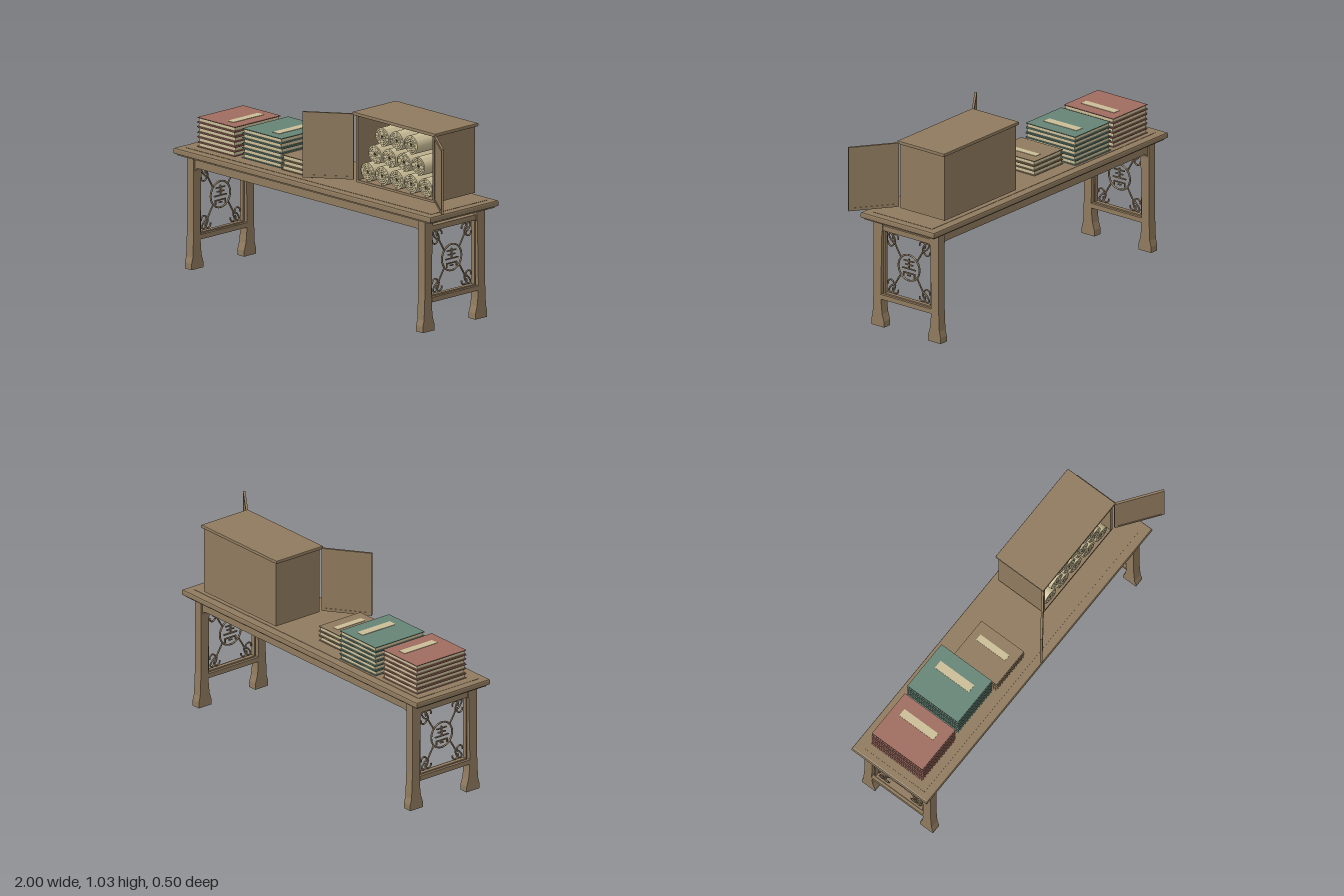
import * as THREE from 'three';
import { toCreasedNormals } from 'three/addons/utils/BufferGeometryUtils.js';

const paint = (name, color) => {
  const m = new THREE.MeshStandardMaterial({ color });
  m.name = name;
  return m;
};
const wood = paint('brown wood', 0x8f7a5e);
const paper = paint('cream paper', 0xcabd97);
const red = paint('red cover', 0x9e6c5f);
const green = paint('green cover', 0x668475);
const dark = paint('dark roller', 0x54432f);

function add(parent, name, geometry, material, x = 0, y = 0, z = 0) {
  const mesh = new THREE.Mesh(geometry, material);
  mesh.name = name;
  mesh.position.set(x, y, z);
  parent.add(mesh);
  return mesh;
}

// Box given by its limits on each axis
function box(parent, name, material, x0, x1, y0, y1, z0, z1) {
  return add(parent, name, new THREE.BoxGeometry(x1 - x0, y1 - y0, z1 - z0), material,
    (x0 + x1) / 2, (y0 + y1) / 2, (z0 + z1) / 2);
}

function group(parent, name, x = 0, y = 0, z = 0) {
  const g = new THREE.Group();
  g.name = name;
  g.position.set(x, y, z);
  parent.add(g);
  return g;
}

const outline = (pts) => new THREE.Shape(pts.map(([x, y]) => new THREE.Vector2(x, y)));
const extrude = (shape, depth) =>
  new THREE.ExtrudeGeometry(shape, { depth, bevelEnabled: false, curveSegments: 6 });

// Openwork for one end of the table, drawn in local x-y and turned sideways
function endFret(parent, x) {
  const g = group(parent, 'endFret', x, 0.358, 0);
  g.rotation.y = x > 0 ? Math.PI / 2 : -Math.PI / 2;
  add(g, 'fretRing', new THREE.TorusGeometry(0.07, 0.005, 8, 40), wood);
  // lattice bars: centre x, centre y, width, height
  for (const [bx, by, w, h] of [
    [0, 0.037, 0.066, 0.006], [0, 0.016, 0.05, 0.006], [0, -0.006, 0.088, 0.006],
    [0, -0.03, 0.076, 0.006], [0, 0.02, 0.006, 0.058],
    [-0.035, -0.04, 0.006, 0.022], [0.035, -0.04, 0.006, 0.022], [0, -0.043, 0.022, 0.006],
  ]) add(g, 'fretBar', new THREE.BoxGeometry(w, h, 0.008), wood, bx, by, 0);
  // scrolled corners
  for (const sx of [-1, 1]) for (const sy of [-1, 1]) {
    const tube = (name, pts, closed = false) => {
      const path = new THREE.CatmullRomCurve3(
        pts.map(([px, py]) => new THREE.Vector3(px * sx, py * sy, 0)), closed);
      add(g, name, new THREE.TubeGeometry(path, 22, 0.0045, 6, closed), wood);
    };
    const arc = (cx, cy, start) => Array.from({ length: 9 }, (_, i) => {
      const a = start + (i / 8) * 4.2;
      return [cx + 0.019 * Math.cos(a), cy + 0.019 * Math.sin(a)];
    });
    tube('fretStem', [[0.053, 0.046], [0.073, 0.078], [0.095, 0.115]]);
    tube('fretLeaf', [[0.092, 0.112], [0.098, 0.142], [0.122, 0.163], [0.134, 0.154], [0.117, 0.125]], true);
    tube('fretCurl', arc(0.12, 0.112, 2.4));
    tube('fretCurl', arc(0.09, 0.144, -0.7));
  }
}

function buildTable(root) {
  const t = group(root, 'table', -0.05, 0, -0.006);
  // top: moulded edge with a flush field panel
  box(t, 'topUnderMould', wood, -0.935, 0.935, 0.593, 0.603, -0.23, 0.23);
  const slab = outline([[-0.942, -0.237], [0.942, -0.237], [0.942, 0.237], [-0.942, 0.237]]);
  const slabGeo = new THREE.ExtrudeGeometry(slab,
    { depth: 0.017, bevelThickness: 0.008, bevelSize: 0.008, bevelSegments: 2 });
  slabGeo.rotateX(-Math.PI / 2);
  add(t, 'tableTop', slabGeo, wood, 0, 0.609, 0);
  box(t, 'topPanel', wood, -0.91, 0.91, 0.632, 0.6355, -0.2, 0.2);

  // aprons with rounded corners where they meet the legs
  const apron = new THREE.Shape();
  apron.moveTo(-0.88, 0.595);
  apron.lineTo(-0.88, 0.51);
  apron.lineTo(-0.83, 0.51);
  apron.quadraticCurveTo(-0.83, 0.543, -0.8, 0.543);
  apron.lineTo(0.8, 0.543);
  apron.quadraticCurveTo(0.83, 0.543, 0.83, 0.51);
  apron.lineTo(0.88, 0.51);
  apron.lineTo(0.88, 0.595);
  for (const s of [-1, 1]) add(t, 'apron', extrude(apron, 0.036), wood, 0, 0, s * 0.19 - 0.018);

  // legs with flared feet
  const legPts = [[0.216, 0.595], [0.157, 0.595], [0.157, 0.53], [0.161, 0.525], [0.168, 0.18],
    [0.164, 0.11], [0.159, 0.07], [0.147, 0.032], [0.146, 0], [0.231, 0], [0.231, 0.032],
    [0.222, 0.065], [0.219, 0.14], [0.216, 0.2]];
  for (const s of [-1, 1]) {
    const shape = outline(legPts.map(([z, y]) => [z * s, y]));
    for (const x of [-0.88, 0.83]) {
      const geo = extrude(shape, 0.05);
      geo.rotateY(-Math.PI / 2);
      add(t, 'leg', geo, wood, x + 0.05, 0, 0);
    }
  }

  // end rails, thin inner frame and openwork
  for (const s of [-1, 1]) {
    const c = s * 0.855;
    box(t, 'upperRail', wood, c - 0.02, c + 0.02, 0.531, 0.559, -0.165, 0.165);
    box(t, 'lowerRail', wood, c - 0.027, c + 0.027, 0.153, 0.179, -0.168, 0.168);
    box(t, 'frameSill', wood, c - 0.012, c + 0.012, 0.179, 0.186, -0.16, 0.16);
    for (const z of [-1, 1])
      box(t, 'frameStile', wood, c - 0.012, c + 0.012, 0.186, 0.531, z * 0.156 - 0.004, z * 0.156 + 0.004);
    endFret(t, c);
  }
}

// Rolled sheet: a spiral ribbon extruded along its length
function rolledSheet() {
  const outer = [], inner = [], turns = 4, steps = 112;
  for (let i = 0; i <= steps; i++) {
    const a = (i / steps) * turns * Math.PI * 2 - Math.PI / 2;
    const r = 0.053 - 0.041 * (i / steps);
    outer.push([r * Math.cos(a), r * Math.sin(a)]);
    inner.push([(r - 0.0088) * Math.cos(a), (r - 0.0088) * Math.sin(a)]);
  }
  return toCreasedNormals(extrude(outline([...outer, ...inner.reverse()]), 0.255), 0.6);
}

function buildDoor(parent, x, angle) {
  const L = 0.268, y0 = 0.667, y1 = 1.018, b = 0.016;
  const door = group(parent, 'cabinetDoor', x, 0, 0.085);
  door.rotation.y = angle;
  const frame = outline([[0, y0], [L, y0], [L, y1], [0, y1]]);
  frame.holes.push(outline([[b, y0 + b], [b, y1 - b], [L - b, y1 - b], [L - b, y0 + b]]));
  add(door, 'doorFrame', extrude(frame, 0.012), wood, 0, 0, -0.006);
  box(door, 'doorPanel', wood, b, L - b, y0 + b, y1 - b, -0.004, 0.004);
}

function buildCabinet(root) {
  const c = group(root, 'cabinet');
  const x0 = 0.187, x1 = 0.767, z0 = -0.212, z1 = 0.081;
  box(c, 'cabinetFloor', wood, x0, x1, 0.655, 0.668, z0, z1);
  box(c, 'cabinetBack', wood, x0, x1, 0.668, 1.012, z0, z0 + 0.014);
  box(c, 'cabinetSide', wood, x0, x0 + 0.014, 0.668, 1.012, z0 + 0.014, z1);
  box(c, 'cabinetSide', wood, x1 - 0.014, x1, 0.668, 1.012, z0 + 0.014, z1);
  const lid = outline([[0.176, -0.087], [0.778, -0.087], [0.778, 0.216], [0.176, 0.216]]);
  const lidGeo = new THREE.ExtrudeGeometry(lid,
    { depth: 0.01, bevelThickness: 0.004, bevelSize: 0.004, bevelSegments: 2 });
  lidGeo.rotateX(-Math.PI / 2);
  add(c, 'cabinetLid', lidGeo, wood, 0, 1.015, 0);
  buildDoor(c, 0.778, -0.63);
  buildDoor(c, 0.176, Math.PI + 0.63);

  // stacked paper rolls, five then four then three
  const sheet = rolledSheet();
  const rod = new THREE.CylinderGeometry(0.005, 0.005, 0.257, 10).rotateX(Math.PI / 2);
  [5, 4, 3].forEach((count, row) => {
    for (let i = 0; i < count; i++) {
      const x = 0.473 + (i - (count - 1) / 2) * 0.107, y = 0.721 + row * 0.104;
      add(c, 'paperRoll', sheet, paper, x, y, -0.185);
      add(c, 'rollCore', rod, dark, x, y, -0.057);
    }
  });
}

// Stack of thin books; alternate ones are nudged a little
function buildStack(root, name, cover, [x0, x1, z0, z1], top, count, label) {
  const s = group(root, name);
  const base = 0.638, h = (top - base) / count;
  for (let i = 0; i < count; i++) {
    const y = base + i * h, d = i === count - 1 ? 0 : (i % 2 ? 0.003 : -0.002);
    box(s, 'lowerCover', cover, x0 + d, x1 + d, y, y + 0.004, z0, z1);
    box(s, 'pages', paper, x0 + d + 0.006, x1 + d - 0.006, y + 0.004, y + h - 0.005, z0 + 0.006, z1 - 0.006);
    box(s, 'upperCover', cover, x0 + d, x1 + d, y + h - 0.005, y + h - 0.001, z0, z1);
  }
  const [lx0, lx1, lz0, lz1] = label;
  box(s, 'coverLabel', paper, lx0, lx1, top - 0.001, top + 0.001, lz0, lz1);
}

export function createModel() {
  const root = new THREE.Group();
  root.name = 'tableWithBooksAndCabinet';
  buildTable(root);
  buildCabinet(root);
  buildStack(root, 'redBooks', red, [-0.917, -0.64, -0.182, 0.147], 0.797, 6, [-0.755, -0.71, -0.13, 0.09]);
  buildStack(root, 'greenBooks', green, [-0.6, -0.312, -0.197, 0.132], 0.797, 6, [-0.435, -0.387, -0.145, 0.075]);
  buildStack(root, 'brownBooks', wood, [-0.293, -0.062, -0.13, 0.147], 0.72, 3, [-0.162, -0.125, -0.088, 0.1]);
  return root;
}
